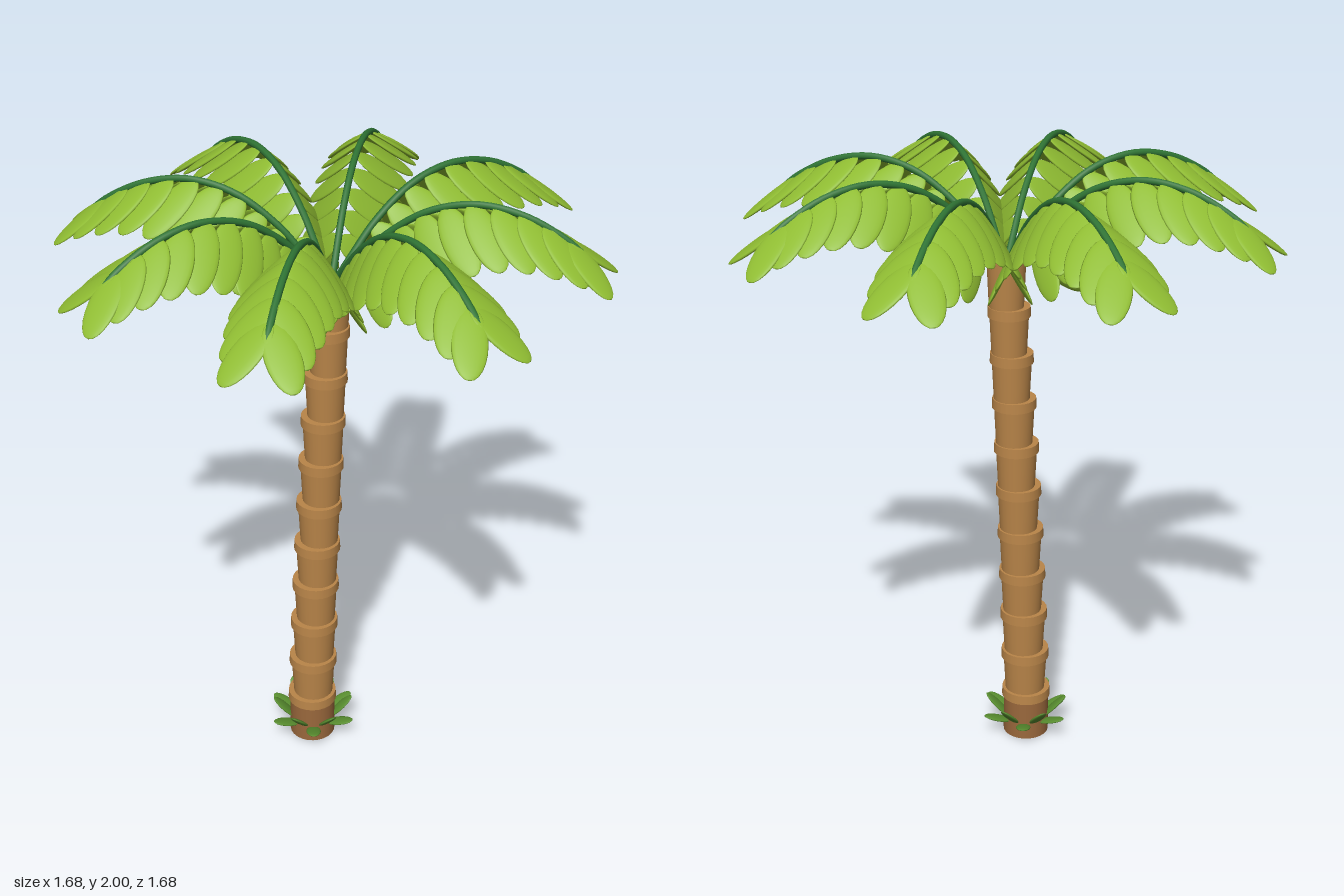
import * as THREE from 'three';

const V = (x, y, z) => new THREE.Vector3(x, y, z);
const bark = new THREE.MeshStandardMaterial({ color: 0xb98549 });
const barkDark = new THREE.MeshStandardMaterial({ color: 0x9a683c });
const leafGreen = new THREE.MeshStandardMaterial({ color: 0x8fbc32 });
const stemGreen = new THREE.MeshStandardMaterial({ color: 0x2f7434 });
const tuftGreen = new THREE.MeshStandardMaterial({ color: 0x5a9030 });
const leafGeo = new THREE.SphereGeometry(0.5, 18, 12);

function add(parent, name, geo, mat) {
  const mesh = new THREE.Mesh(geo, mat);
  mesh.name = name;
  parent.add(mesh);
  return mesh;
}

// Flattened ellipsoid leaf running from root to tip, its width lying along "across"
function addLeaf(parent, name, root, tip, across, width, thickness, mat) {
  const leaf = add(parent, name, leafGeo, mat);
  const dir = tip.clone().sub(root);
  const length = dir.length();
  dir.normalize();
  const normal = across.clone().cross(dir).normalize();
  const side = dir.clone().cross(normal).normalize();
  leaf.quaternion.setFromRotationMatrix(new THREE.Matrix4().makeBasis(side, dir, normal));
  leaf.position.copy(root).add(tip).multiplyScalar(0.5);
  leaf.scale.set(width, length, thickness);
}

// Leaning trunk of stacked, flaring segments with a collar on each
function createTrunk() {
  const trunk = new THREE.Group();
  trunk.name = 'trunk';
  const count = 11, step = 0.154;
  const lean = (y) => -0.078 * (1 - Math.pow(Math.min(y / 1.65, 1), 1.35));
  for (let i = 0; i < count; i++) {
    const y0 = i * step, top = y0 + step + 0.015, t = i / (count - 1);
    const r = THREE.MathUtils.lerp(0.077, 0.062, t);
    const bottomR = i === 0 ? r : r * 0.87;
    const h = top - y0;
    const seg = add(trunk, 'trunkSegment', new THREE.CylinderGeometry(r * 0.99, bottomR, h, 24),
      i === 0 ? barkDark : bark);
    seg.position.set(lean(y0 + h / 2), y0 + h / 2, 0);
    if (i < count - 1) {
      const collar = add(trunk, 'trunkCollar', new THREE.CylinderGeometry(r * 1.05, r * 1.07, 0.032, 24), bark);
      collar.position.set(lean(y0 + h / 2), top - 0.014, 0);
    }
  }
  return trunk;
}

// Arching frond along +x with mirrored pairs of drooping leaflets
function createFrond() {
  const frond = new THREE.Group();
  frond.name = 'frond';
  const path = new THREE.CatmullRomCurve3([
    V(0, 1.68, 0), V(0.07, 1.765, 0), V(0.16, 1.865, 0), V(0.29, 1.955, 0),
    V(0.43, 1.988, 0), V(0.57, 1.965, 0), V(0.69, 1.905, 0), V(0.74, 1.865, 0)]);
  add(frond, 'frondStem', new THREE.TubeGeometry(path, 32, 0.011, 8), stemGreen);
  const pairs = 10;
  for (let i = 0; i < pairs; i++) {
    const t = i / (pairs - 1);
    const u = 0.17 + 0.76 * t;
    const root = path.getPointAt(u);
    const forward = 0.11 + 0.035 * t * t;
    const reach = 0.155 - 0.055 * t * t * t;
    const drop = 0.15 - 0.025 * t;
    for (const s of [-1, 1]) {
      const tip = root.clone().add(V(forward, -drop, s * reach));
      const across = path.getTangentAt(u).lerp(V(0.4, 0, -s), 0.45 * t);
      addLeaf(frond, 'leaflet', root, tip, across, 0.1, 0.02, leafGreen);
    }
  }
  return frond;
}

// Ring of small upturned leaves around the foot
function createTuft() {
  const tuft = new THREE.Group();
  tuft.name = 'baseTuft';
  const count = 12;
  for (let i = 0; i < count; i++) {
    const a = (i / count) * Math.PI * 2, high = i % 2;
    const out = V(Math.cos(a), 0, Math.sin(a));
    const root = out.clone().multiplyScalar(0.055).setY(0.045);
    const tip = out.clone().multiplyScalar(high ? 0.135 : 0.155).setY(high ? 0.13 : 0.085);
    addLeaf(tuft, 'tuftLeaf', root, tip, V(-out.z, 0, out.x), 0.05, 0.014, tuftGreen);
  }
  tuft.position.x = -0.075;
  return tuft;
}

export function createModel() {
  const palm = new THREE.Group();
  palm.name = 'palmTree';
  palm.add(createTrunk(), createTuft());
  const crown = new THREE.Group();
  crown.name = 'crown';
  for (let i = 0; i < 8; i++) {
    const frond = createFrond();
    frond.rotation.y = (i * Math.PI) / 4;
    crown.add(frond);
  }
  palm.add(crown);
  return palm;
}
